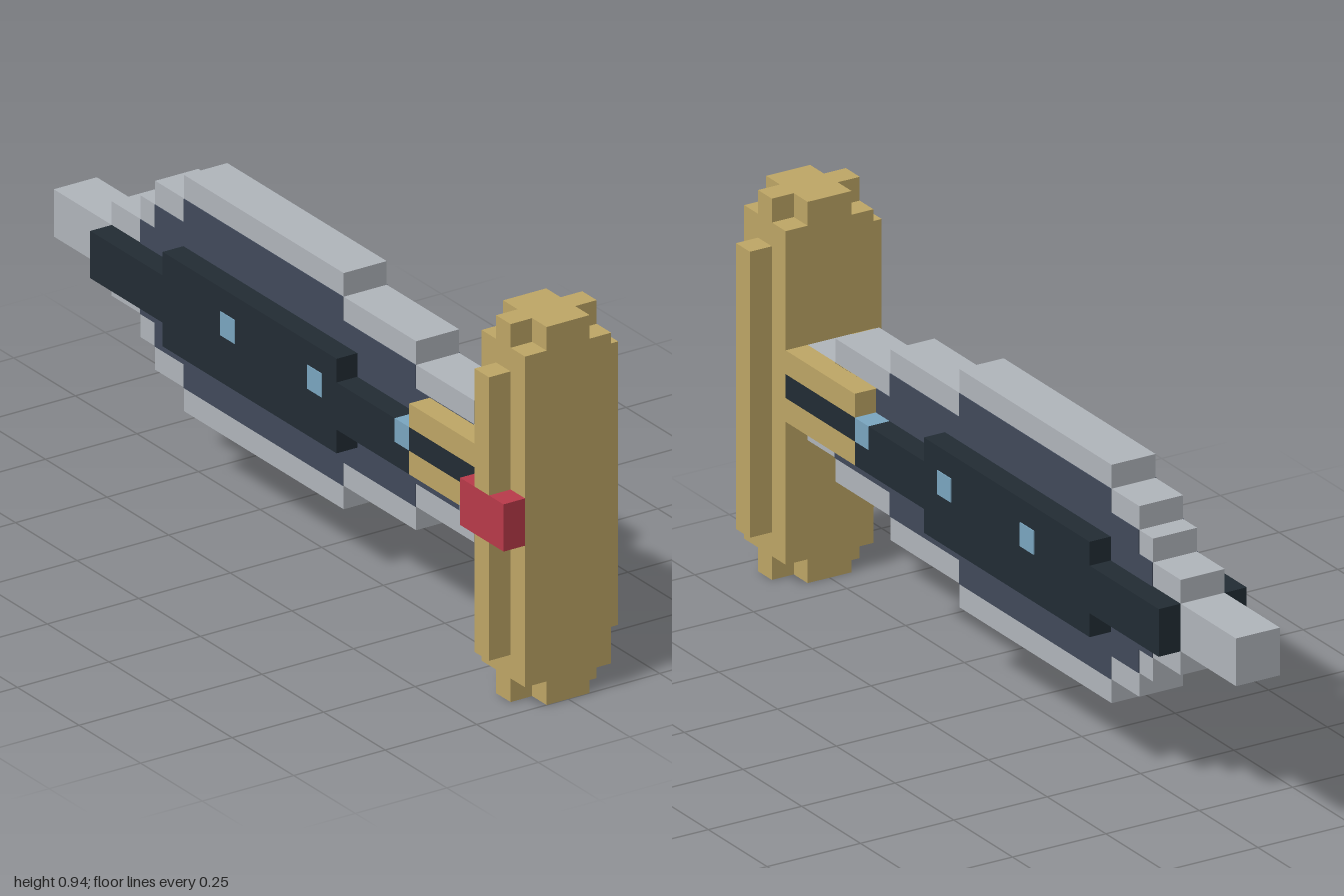
import * as THREE from 'three';

const U = 2 / 34; // one block of the grid

function material(name, color) {
  const m = new THREE.MeshStandardMaterial({ color });
  m.name = name;
  return m;
}

export function createModel() {
  const gold = material('gold', 0xbfa766);
  const steel = material('steel', 0xb1b6bc);
  const navy = material('navy', 0x414a5b);
  const dark = material('darkSlate', 0x222c34);
  const blue = material('lightBlue', 0x7ba7c1);
  const red = material('red', 0xba3a4a);

  const model = new THREE.Group();
  model.name = 'blockSword';

  // Box given by its limits in grid blocks
  function box(name, mat, [x0, x1], [y0, y1], [z0, z1]) {
    const geo = new THREE.BoxGeometry((x1 - x0) * U, (y1 - y0) * U, (z1 - z0) * U);
    const mesh = new THREE.Mesh(geo, mat);
    mesh.position.set((x0 + x1) / 2 * U, (y0 + y1) / 2 * U, (z0 + z1) / 2 * U);
    mesh.name = name;
    model.add(mesh);
  }

  // Stepped silhouette, mirrored about y = 8: steps are [z end, half height]
  function steppedPlate(name, mat, zStart, steps, x0, x1) {
    const top = [];
    let z = zStart;
    for (const [zEnd, half] of steps) {
      top.push([z, half], [zEnd, half]);
      z = zEnd;
    }
    const outline = [...top, ...top.slice().reverse().map(([a, h]) => [a, -h])];
    const shape = new THREE.Shape(outline.map(([a, h]) => new THREE.Vector2(a * U, (8 + h) * U)));
    const geo = new THREE.ExtrudeGeometry(shape, { depth: (x1 - x0) * U, bevelEnabled: false });
    geo.rotateY(-Math.PI / 2);
    geo.translate(x1 * U, 0, 0);
    const mesh = new THREE.Mesh(geo, mat);
    mesh.name = name;
    model.add(mesh);
  }

  // Steel blade with stepped edges
  steppedPlate('blade', steel, -17,
    [[-13, 1], [-11, 2], [-10, 3], [-8, 4], [3, 5], [8, 4], [12, 3], [14, 2]], -1, 1);

  for (const s of [-1, 1]) {
    const side = s > 0 ? 'left' : 'right';
    const span = (a, b) => (s > 0 ? [a, b] : [-b, -a]);

    // Navy inlay on the blade face
    steppedPlate(side + 'Inlay', navy, -11,
      [[-10, 2], [-8, 3], [3, 4], [8, 3], [12, 2]], ...span(1, 1.04));

    // Dark raised spine
    const x = span(1, 2);
    box(side + 'Spine', dark, x, [7, 9], [-13, 8]);
    box(side + 'SpineRoot', dark, x, [7, 8], [8, 9]);
    box(side + 'SpineUpper', dark, x, [9, 10], [-8, 4]);
    box(side + 'SpineLower', dark, x, [6, 7], [-8, 4]);

    // Gold collar with a dark stripe
    box(side + 'CollarUpper', gold, x, [9, 10], [9, 14]);
    box(side + 'CollarStripe', dark, x, [8, 9], [9, 14]);
    box(side + 'CollarLower', gold, x, [7, 8], [9, 14]);

    // Blue gems
    box(side + 'RootGem', blue, x, [8, 9], [8, 9]);
    for (const z of [2, -4]) box(side + 'Gem', blue, span(2, 2.04), [8, 9], [z, z + 1]);
  }

  // Gold guard with notched corners
  box('guardBody', gold, [-2, 2], [1, 15], [14, 17]);
  for (const y of [0, 15]) {
    box('guardCapCentre', gold, [-1, 1], [y, y + 1], [14, 17]);
    for (const x of [-2, 1]) box('guardCapSide', gold, [x, x + 1], [y, y + 1], [15, 16]);
  }

  // Side rails, the right one interrupted by the red block
  box('leftRail', gold, [2, 3], [2, 14], [15, 16]);
  box('rightRailUpper', gold, [-3, -2], [9, 14], [15, 16]);
  box('rightRailLower', gold, [-3, -2], [2, 7], [15, 16]);
  box('redBlock', red, [-3, -2], [7, 9], [14, 17]);
  box('redBlockBackPlate', steel, [-3, -2], [7, 8], [13.96, 14]);

  return model;
}
